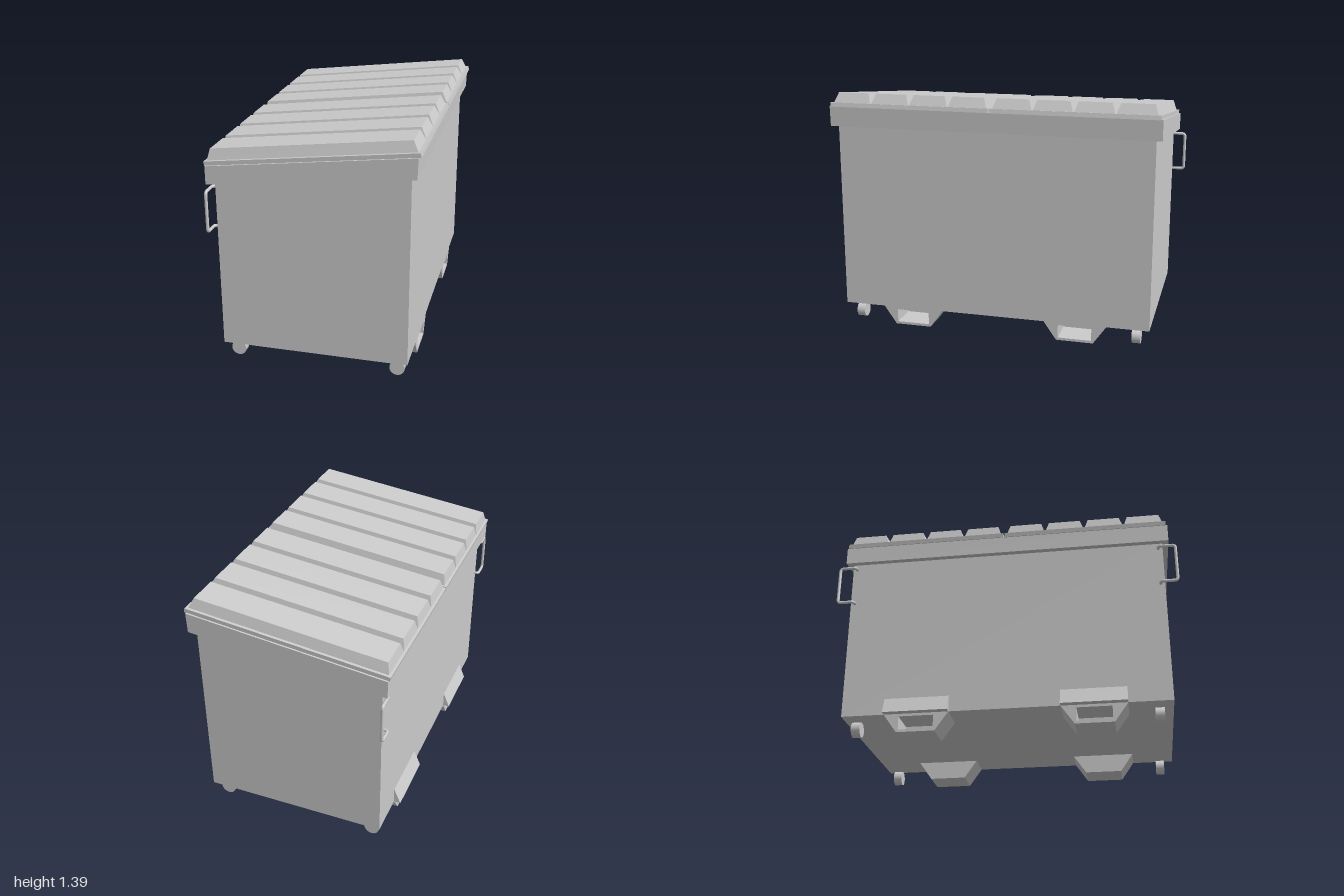
import * as THREE from 'three';

const material = new THREE.MeshStandardMaterial({ color: 0xcccccc });

function mesh(name, geometry) {
  const m = new THREE.Mesh(geometry, material);
  m.name = name;
  return m;
}

// Six-sided block: each level is { x: [min, max], z: [min, max], y: height at x = 0, slope }
function block(bottom, top) {
  const geo = new THREE.BoxGeometry(1, 1, 1);
  const p = geo.attributes.position;
  for (let i = 0; i < p.count; i++) {
    const level = p.getY(i) > 0 ? top : bottom;
    const x = level.x[p.getX(i) > 0 ? 1 : 0];
    const z = level.z[p.getZ(i) > 0 ? 1 : 0];
    p.setXYZ(i, x, level.y + (level.slope || 0) * x, z);
  }
  geo.computeVertexNormals();
  return geo;
}

// Trapezoid outline of a fork pocket, optionally with its rectangular opening
function pocketShape(open) {
  const s = new THREE.Shape();
  s.moveTo(-0.108, 0);
  s.lineTo(0.108, 0);
  s.lineTo(0.183, 0.107);
  s.lineTo(-0.183, 0.107);
  s.closePath();
  if (open) {
    const h = new THREE.Path();
    h.moveTo(-0.098, 0.015);
    h.lineTo(-0.098, 0.092);
    h.lineTo(0.098, 0.092);
    h.lineTo(0.098, 0.015);
    h.closePath();
    s.holes.push(h);
  }
  return s;
}

// Fork pocket, open towards the outside and closed at its inner end
function forkPocket() {
  const g = new THREE.Group();
  g.name = 'forkPocket';
  const sleeve = new THREE.ExtrudeGeometry(pocketShape(true), { depth: 0.17, bevelEnabled: false });
  const plate = new THREE.ExtrudeGeometry(pocketShape(false), { depth: 0.015, bevelEnabled: false });
  sleeve.rotateY(Math.PI / 2).translate(0.36, 0, 0);
  plate.rotateY(Math.PI / 2).translate(0.345, 0, 0);
  g.add(mesh('pocketSleeve', sleeve), mesh('pocketEndPlate', plate));
  return g;
}

// Bent-rod handle wrapping the rear corner at end s (+1 or -1)
function handle(s) {
  const r = 0.02, X = -0.557, Z = 0.991, top = 1.047, low = 0.818;
  const corners = [
    [-0.515, top, 0.895], [X, top, 0.895], [X, top, Z],
    [X, low, Z], [X, low, 0.895], [-0.515, low, 0.895],
  ].map(([x, y, z]) => new THREE.Vector3(x, y, z * s));
  const path = new THREE.CurvePath();
  let from = corners[0];
  for (let i = 1; i < corners.length - 1; i++) {
    const c = corners[i];
    const a = c.clone().add(corners[i - 1].clone().sub(c).setLength(r));
    const b = c.clone().add(corners[i + 1].clone().sub(c).setLength(r));
    path.add(new THREE.LineCurve3(from, a));
    path.add(new THREE.QuadraticBezierCurve3(a, c, b));
    from = b;
  }
  path.add(new THREE.LineCurve3(from, corners[corners.length - 1]));
  return mesh('handle', new THREE.TubeGeometry(path, 120, 0.009, 10));
}

export function createModel() {
  const model = new THREE.Group();
  model.name = 'wasteContainer';

  // Container body with a sloping top
  model.add(mesh('body', block(
    { x: [-0.53, 0.53], z: [-0.92, 0.92], y: 0.107 },
    { x: [-0.53, 0.53], z: [-0.92, 0.92], y: 1.16, slope: 0.11 })));

  // Overhanging rim band
  model.add(mesh('rim', block(
    { x: [-0.57, 0.563], z: [-0.955, 0.955], y: 1.138, slope: 0.11 },
    { x: [-0.57, 0.567], z: [-0.955, 0.955], y: 1.247, slope: 0.121 })));

  // Two lids, each with four raised ribs
  for (const s of [-1, 1]) {
    const lid = new THREE.Group();
    lid.name = s > 0 ? 'frontLid' : 'backLid';
    const span = (a, b) => (s > 0 ? [a, b] : [-b, -a]);
    lid.add(mesh('lidSlab', block(
      { x: [-0.575, 0.58], z: span(0.004, 0.945), y: 1.245, slope: 0.121 },
      { x: [-0.58, 0.575], z: span(0.004, 0.945), y: 1.27, slope: 0.121 })));
    for (let i = 0; i < 4; i++) {
      const z = 0.017 + i * 0.2295;
      lid.add(mesh('lidRib', block(
        { x: [-0.566, 0.561], z: span(z, z + 0.223), y: 1.269, slope: 0.121 },
        { x: [-0.553, 0.533], z: span(z + 0.02, z + 0.203), y: 1.329, slope: 0.12 })));
    }
    model.add(lid);
  }

  for (const s of [-1, 1]) {
    // Fork pockets on both long sides
    for (const side of [0, Math.PI]) {
      const pocket = forkPocket();
      pocket.rotation.y = side;
      pocket.position.z = s * 0.4925;
      model.add(pocket);
    }

    // Sloping deflector above each rear pocket
    const c = s * 0.4925;
    model.add(mesh('pocketDeflector', block(
      { x: [-0.57, -0.52], z: [c - 0.183, c + 0.183], y: 0.107 },
      { x: [-0.531, -0.52], z: [c - 0.183, c + 0.183], y: 0.2 })));

    // Wheels near the four corners
    for (const x of [-0.463, 0.463]) {
      const wheel = mesh('wheel', new THREE.CylinderGeometry(0.043, 0.043, 0.05, 32));
      wheel.rotation.x = Math.PI / 2;
      wheel.position.set(x, 0.048, s * 0.842);
      model.add(wheel);
    }

    model.add(handle(s));
  }
  return model;
}
